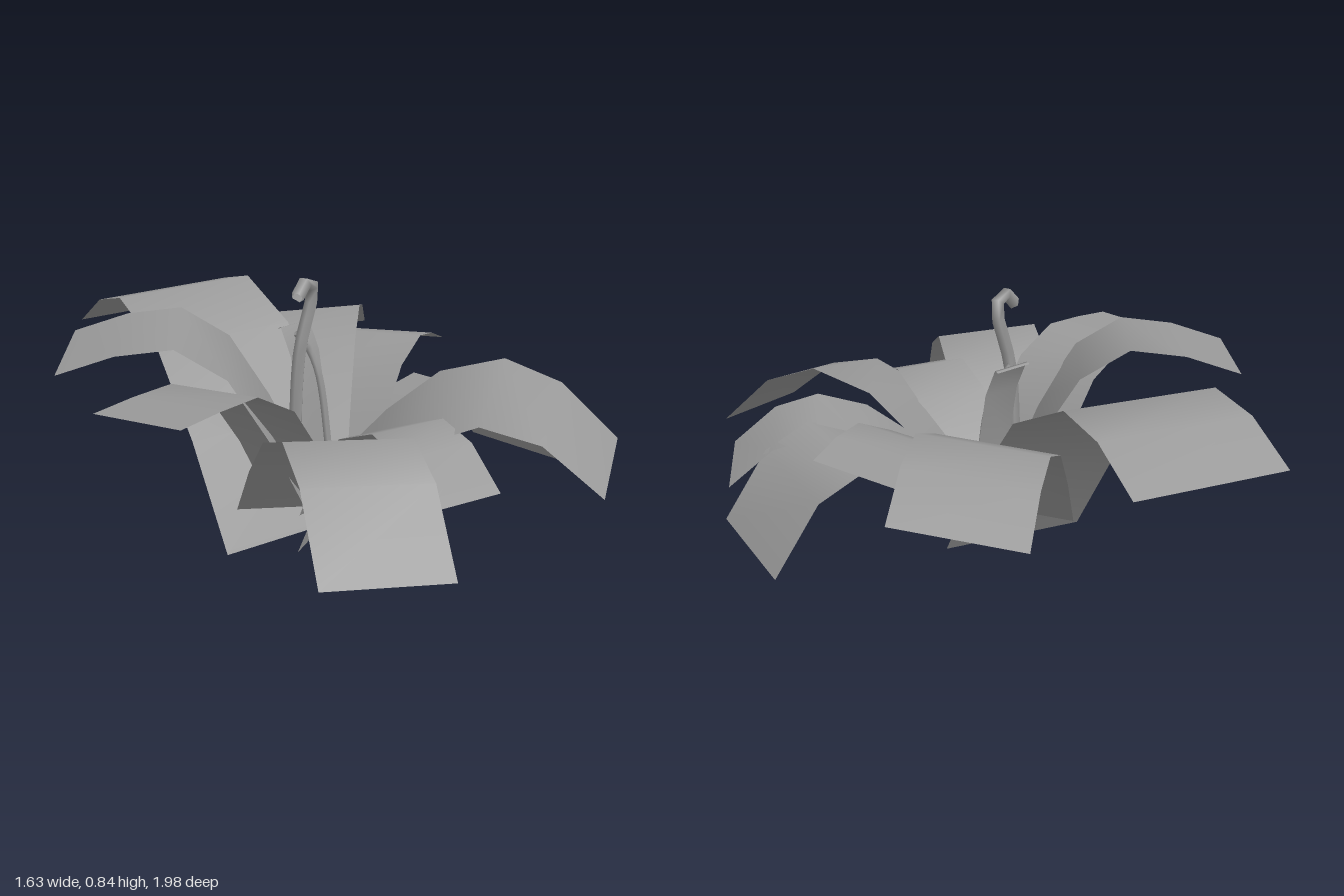
import * as THREE from 'three';

const material = new THREE.MeshStandardMaterial({ color: 0x999999, side: THREE.DoubleSide });

// An arched strip of even width from base [x, y, z] to tip [x, y, z].
// It rises as a sine to the ridge height at fraction ridgeAt, then droops to the tip.
// tilt raises the edge on the right-hand side of the growing direction; it runs from baseTilt to tilt.
function leaf(name, base, tip, width, ridge, ridgeAt, tilt = 0, baseTilt = tilt) {
  const [bx, by, bz] = base, [tx, ty, tz] = tip;
  const side = new THREE.Vector3(bz - tz, 0, tx - bx).setLength(width / 2);

  const height = t => t <= ridgeAt
    ? by + (ridge - by) * Math.sin(t / ridgeAt * Math.PI / 2)
    : ridge - (ridge - ty) * ((t - ridgeAt) / (1 - ridgeAt)) ** 2;

  const geometry = new THREE.PlaneGeometry(1, 1, 1, 5);
  const steps = [0, 0.3 * ridgeAt, 0.62 * ridgeAt, ridgeAt, (1 + ridgeAt) / 2, 1];
  steps.forEach((t, row) => {
    const centre = new THREE.Vector3(bx + (tx - bx) * t, height(t), bz + (tz - bz) * t);
    side.y = (baseTilt + (tilt - baseTilt) * t) / 2;
    [1, -1].forEach((s, column) => {
      const p = centre.clone().addScaledVector(side, s);
      geometry.attributes.position.setXYZ(row * 2 + column, p.x, p.y, p.z);
    });
  });
  geometry.computeVertexNormals();

  const mesh = new THREE.Mesh(geometry, material);
  mesh.name = name;
  return mesh;
}

// Thin young stem along a few points
function stem(name, radius, ...points) {
  const path = new THREE.CatmullRomCurve3(points.map(p => new THREE.Vector3(...p)));
  const mesh = new THREE.Mesh(new THREE.TubeGeometry(path, 14, radius, 5), material);
  mesh.name = name;
  return mesh;
}

export function createModel() {
  const plant = new THREE.Group();
  plant.name = 'leafyPlant';

  // Leaves around the plant, from the back towards its left, front and right
  plant.add(
    leaf('backLeaf', [-0.095, 0.015, 0.02], [0.2, 0.56, -0.925], 0.5, 0.695, 0.68, 0.02),
    leaf('backLeftLeaf', [0.01, 0.17, -0.085], [0.715, 0.46, -0.525], 0.365, 0.59, 0.62, 0.04),
    leaf('leftLeaf', [0.09, 0.15, -0.015], [0.665, 0.495, -0.11], 0.33, 0.545, 0.66, 0.02),
    leaf('frontLeftUpperLeaf', [0.075, 0.17, 0.14], [0.725, 0.155, 0.34], 0.43, 0.425, 0.58, 0.02),
    leaf('frontLeftLowerLeaf', [0, 0.17, 0.22], [0.54, 0.28, 0.67], 0.3, 0.435, 0.6, 0.04),
    leaf('frontLeaf', [-0.065, 0.13, 0.09], [0.24, 0.345, 0.91], 0.425, 0.54, 0.6, -0.04, -0.16),
    leaf('frontRightLowerLeaf', [-0.05, 0.15, 0.1], [-0.255, 0.345, 0.725], 0.25, 0.49, 0.62),
    leaf('frontRightLeaf', [-0.2, 0.16, 0.1], [-0.67, 0.27, 0.77], 0.355, 0.54, 0.62, 0.025),
    leaf('rightLeaf', [-0.12, 0.15, 0.08], [-0.82, 0.585, 0.08], 0.32, 0.6, 0.58, -0.02),
    leaf('backRightLeaf', [-0.1, 0.17, 0.08], [-0.575, 0.63, -0.465], 0.45, 0.7, 0.54, 0.02),
  );

  // Young growth in the middle and a small shoot at the foot
  plant.add(
    leaf('youngLeaf', [0.035, 0.15, 0.02], [0.04, 0.65, -0.1], 0.135, 0.655, 0.9),
    leaf('footShoot', [-0.2, 0.15, 0.14], [-0.2, 0.22, 0.28], 0.05, 0.26, 0.5),
    stem('curledStem', 0.021, [-0.1, 0.15, 0.02], [-0.085, 0.6, 0.03], [-0.045, 0.8, 0.05],
      [-0.09, 0.83, 0.06], [-0.14, 0.79, 0.065]),
    stem('youngStem', 0.012, [0.06, 0.2, 0.04], [0.05, 0.5, 0], [0.04, 0.58, -0.03], [0, 0.64, -0.05]),
  );
  return plant;
}
